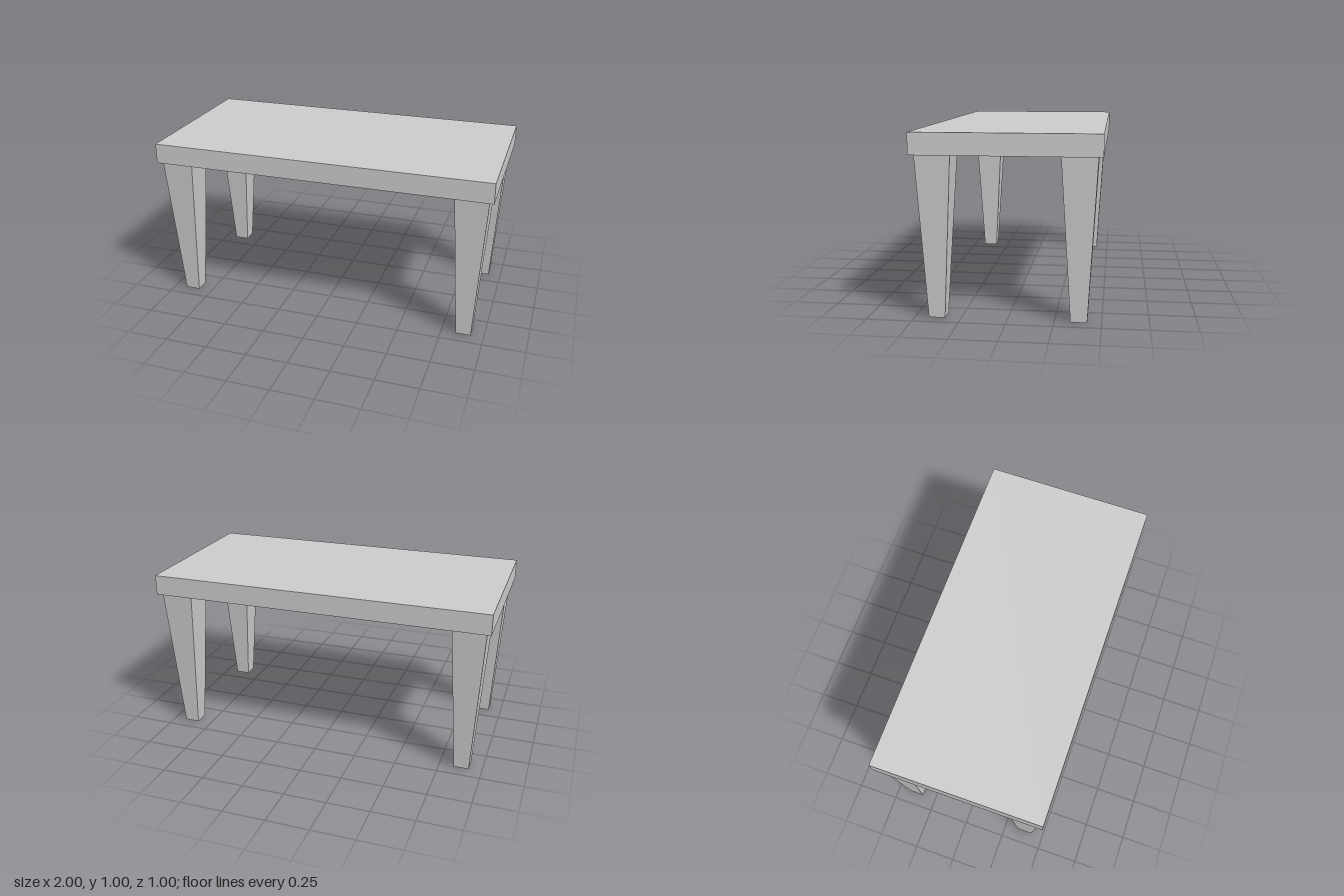
import * as THREE from 'three';

const SLAB = 0.118;            // table top thickness
const LEG_H = 1 - SLAB;
const LEG_TOP = 0.19, LEG_FOOT = 0.088;

// Square leg narrowing evenly towards the foot
function taperedLeg() {
  const geo = new THREE.BoxGeometry(LEG_TOP, LEG_H, LEG_TOP);
  const pos = geo.attributes.position;
  const k = LEG_FOOT / LEG_TOP;
  for (let i = 0; i < pos.count; i++) {
    if (pos.getY(i) < 0) {
      pos.setX(i, pos.getX(i) * k);
      pos.setZ(i, pos.getZ(i) * k);
    }
  }
  geo.translate(0, LEG_H / 2, 0);
  geo.computeVertexNormals();
  return geo;
}

export function createModel() {
  const model = new THREE.Group();
  model.name = 'table';
  const material = new THREE.MeshStandardMaterial({ color: 0xcccccc, flatShading: true });

  // Table top
  const top = new THREE.Mesh(new THREE.BoxGeometry(2, SLAB, 1), material);
  top.name = 'tableTop';
  top.position.y = 1 - SLAB / 2;
  model.add(top);

  // Four legs, mirrored to each corner
  const legGeo = taperedLeg();
  for (const [sx, side] of [[1, 'Left'], [-1, 'Right']]) {
    for (const [sz, end] of [[1, 'front'], [-1, 'back']]) {
      const leg = new THREE.Mesh(legGeo, material);
      leg.name = `${end}${side}Leg`;
      leg.position.set(sx * 0.88, 0, sz * 0.38);
      model.add(leg);
    }
  }
  return model;
}
